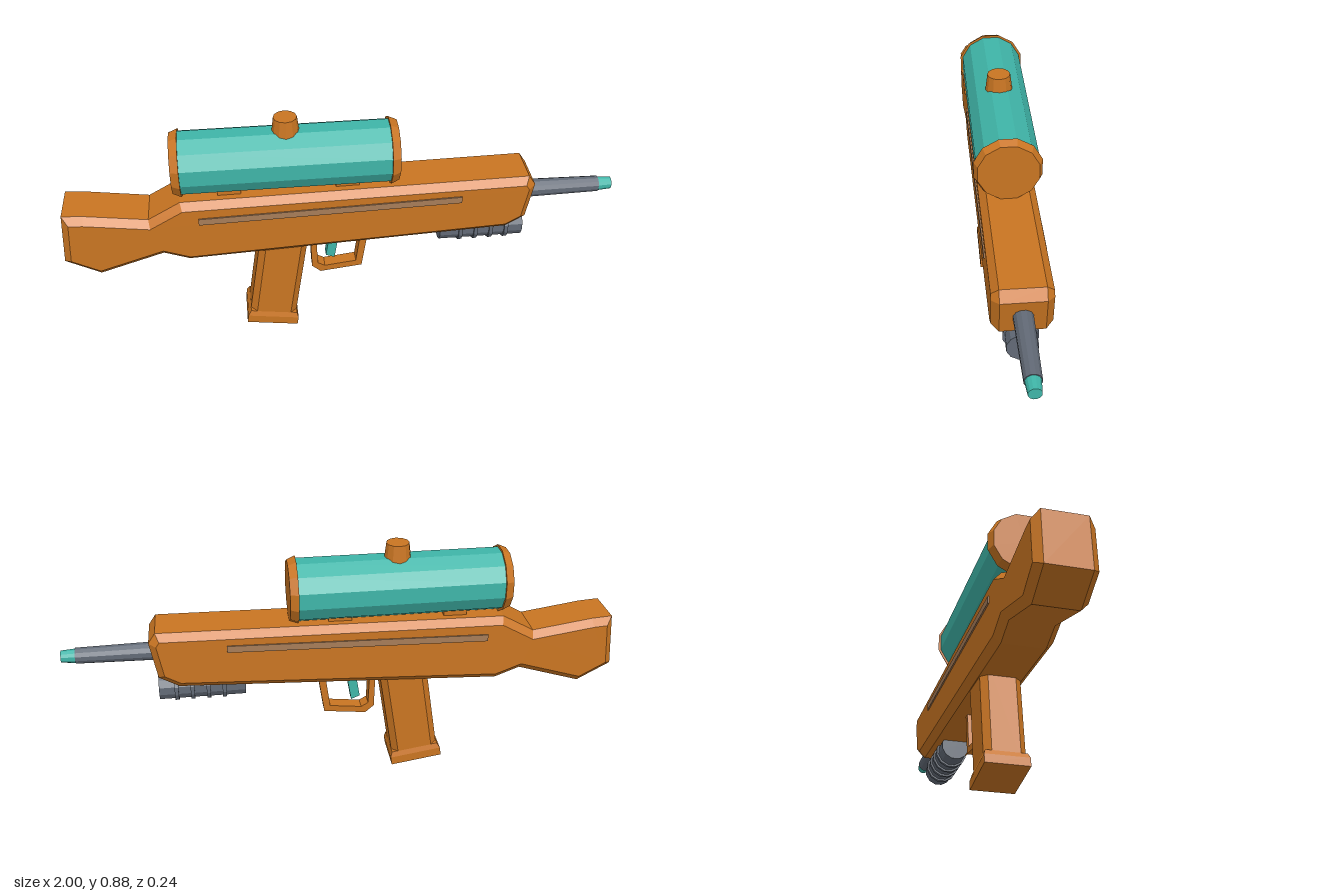
import * as THREE from 'three';

const mat = (name, color) => {
  const m = new THREE.MeshStandardMaterial({ color, flatShading: true });
  m.name = name;
  return m;
};

export function createModel() {
  const orange = mat('orange plastic', 0xc97522);
  const teal = mat('teal plastic', 0x3fb5a8);
  const grey = mat('dark grey', 0x626a76);
  const tan = mat('tan stripe', 0xa67c58);

  const root = new THREE.Group();
  root.name = 'toyBlaster';

  const add = (name, geo, material, x = 0, y = 0, z = 0, parent = root) => {
    const mesh = new THREE.Mesh(geo, material);
    mesh.name = name;
    mesh.position.set(x, y, z);
    parent.add(mesh);
    return mesh;
  };
  const shape = pts => new THREE.Shape(pts.map(p => new THREE.Vector2(...p)));

  // Side profile extruded symmetrically about z = 0, with an optional chamfer inside the outline
  const slab = (pts, half, bevel = 0) => new THREE.ExtrudeGeometry(shape(pts), {
    depth: 2 * (half - bevel), bevelEnabled: bevel > 0, bevelSize: bevel,
    bevelThickness: bevel, bevelOffset: -bevel, bevelSegments: 1,
  }).translate(0, 0, bevel - half);

  // Twelve-sided tube section running along x from x0 to x1
  const tubeX = (x0, x1, r0, r1 = r0) => new THREE.CylinderGeometry(r1, r0, x1 - x0, 12)
    .rotateY(Math.PI / 12).rotateZ(-Math.PI / 2).translate((x0 + x1) / 2, 0, 0);

  // Box standing on y = 0 with a scaled top
  const taperedBox = (w, h, d, sx, sz) => {
    const g = new THREE.BoxGeometry(w, h, d).translate(0, h / 2, 0);
    const p = g.attributes.position;
    for (let i = 0; i < p.count; i++) {
      if (p.getY(i) > h / 2) p.setXYZ(i, p.getX(i) * sx, h, p.getZ(i) * sz);
    }
    g.computeVertexNormals();
    return g;
  };

  // Body and shoulder stock
  add('body', slab([
    [-1, 0.385], [-0.88, 0.32], [-0.65, 0.392], [-0.56, 0.358], [0.595, 0.41], [0.665, 0.45],
    [0.69, 0.588], [0.665, 0.625], [-0.575, 0.608], [-0.69, 0.543], [-0.91, 0.575], [-0.985, 0.58],
  ], 0.1, 0.025), orange);

  // Thin stripe on each side
  for (const s of [1, -1]) {
    add('sideStripe', slab([[-0.515, 0.525], [0.42, 0.547], [0.42, 0.572], [-0.515, 0.55]], 0.004),
      tan, 0, 0, s * 0.101);
  }

  // Tank on top with its caps, filler plug and mounts
  const tankY = 0.725;
  add('tank', tubeX(-0.568, 0.168, 0.113), teal, 0, tankY);
  add('tankRearCap', tubeX(-0.595, -0.565, 0.109, 0.122), orange, 0, tankY);
  add('tankFrontCap', tubeX(0.165, 0.195, 0.122, 0.109), orange, 0, tankY);
  add('fillerPlug', new THREE.CylinderGeometry(0.041, 0.049, 0.065, 12), orange, -0.195, 0.852);
  for (const x of [-0.402, 0.015]) {
    add('tankMount', new THREE.BoxGeometry(0.083, 0.05, 0.1), orange, x, 0.608);
  }

  // Barrel and nozzle
  add('barrel', tubeX(0.65, 0.95, 0.034, 0.029), grey, 0, 0.519);
  add('nozzle', tubeX(0.95, 1, 0.026, 0.022), teal, 0, 0.519);

  // Ribbed pump under the barrel
  add('pump', tubeX(0.36, 0.67, 0.054), grey, 0, 0.378);
  for (let i = 0; i < 4; i++) {
    const x = 0.437 + i * 0.057;
    add('pumpRib', tubeX(x - 0.007, x + 0.007, 0.061), grey, 0, 0.378);
  }

  // Slanted grip with chamfered corners and a foot
  const grip = new THREE.Group();
  grip.name = 'grip';
  grip.position.set(-0.275, 0.0145, 0);
  grip.rotation.z = -0.15;
  root.add(grip);
  const w = 0.087, d = 0.072, c = 0.023;
  const section = shape([
    [w, c - d], [w, d - c], [w - c, d], [c - w, d], [-w, d - c], [-w, c - d], [c - w, -d], [w - c, -d],
  ]);
  add('gripColumn', new THREE.ExtrudeGeometry(section, { depth: 0.38, bevelEnabled: false })
    .rotateX(-Math.PI / 2), orange, 0, 0.02, 0, grip);
  add('gripFoot', new THREE.BoxGeometry(0.192, 0.032, 0.156), orange, 0, 0.016, 0, grip);
  add('gripFootTaper', taperedBox(0.192, 0.02, 0.156, 0.91, 0.92), orange, 0, 0.032, 0, grip);

  // Trigger guard and trigger
  add('triggerGuard', slab([
    [-0.12, 0.39], [-0.115, 0.24], [-0.083, 0.212], [0.072, 0.23], [0.096, 0.395],
    [0.069, 0.395], [0.05, 0.252], [-0.067, 0.238], [-0.093, 0.253], [-0.098, 0.39],
  ], 0.025), orange);
  add('trigger', slab([[-0.045, 0.39], [-0.062, 0.283], [-0.03, 0.27], [-0.01, 0.39]], 0.018), teal);

  return root;
}
